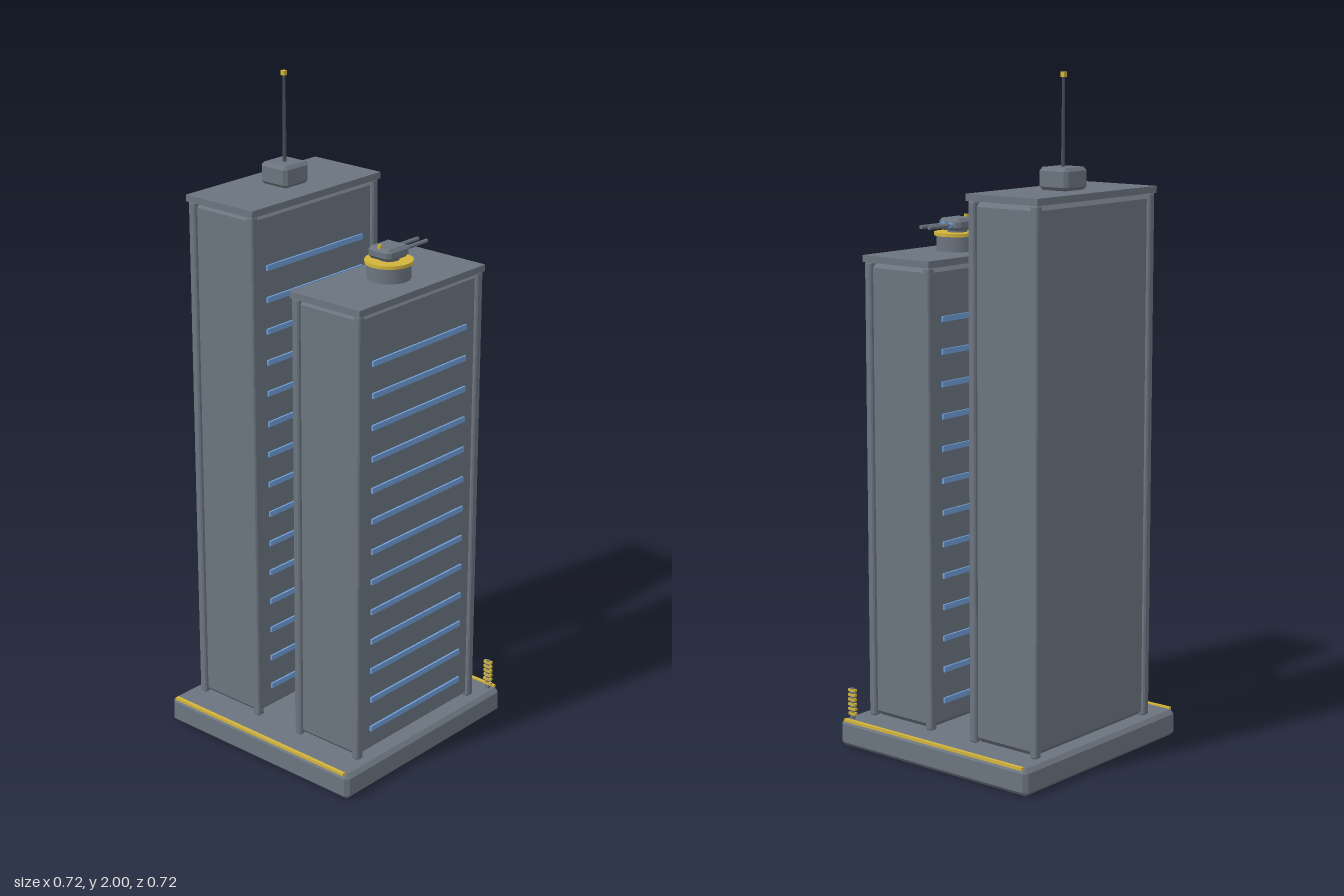
import * as THREE from 'three';
import { ConvexGeometry } from 'three/addons/geometries/ConvexGeometry.js';

const material = (name, color) => {
  const m = new THREE.MeshStandardMaterial({ color });
  m.name = name;
  return m;
};

// Box with flat chamfers on every edge, centred on the origin
function chamferBox(w, h, d, c) {
  const points = [];
  for (const sx of [-1, 1]) for (const sy of [-1, 1]) for (const sz of [-1, 1]) {
    const x = w / 2, y = h / 2, z = d / 2;
    points.push(new THREE.Vector3(sx * x, sy * (y - c), sz * (z - c)));
    points.push(new THREE.Vector3(sx * (x - c), sy * y, sz * (z - c)));
    points.push(new THREE.Vector3(sx * (x - c), sy * (y - c), sz * z));
  }
  return new ConvexGeometry(points);
}

export function createModel() {
  const model = new THREE.Group();
  model.name = 'twinTowers';
  const grey = material('slateGrey', 0x6b747f);
  const dark = material('darkSteel', 0x454b55);
  const yellow = material('signalYellow', 0xd2b43c);
  const blue = material('windowBlue', 0x6f9fd8);

  const add = (parent, name, geometry, mat, x, y, z) => {
    const mesh = new THREE.Mesh(geometry, mat);
    mesh.name = name;
    mesh.position.set(x, y, z);
    parent.add(mesh);
    return mesh;
  };
  const box = (w, h, d) => new THREE.BoxGeometry(w, h, d);

  // Base slab with yellow edge strips at front and back
  add(model, 'base', chamferBox(0.72, 0.08, 0.72, 0.012), grey, 0, 0.04, 0);
  for (const s of [-1, 1])
    add(model, 'edgeStrip', box(0.685, 0.009, 0.011), yellow, 0, 0.08, s * 0.353);

  // Tower: core, corner columns, roof slab and window bands
  function tower(name, x, top, bands, sides) {
    const g = new THREE.Group();
    g.name = name;
    g.position.x = x;
    model.add(g);
    const h = top - 0.1, mid = 0.08 + h / 2;
    add(g, 'core', chamferBox(0.23, h, 0.52, 0.016), grey, 0, mid, 0);
    for (const sx of [-1, 1]) for (const sz of [-1, 1])
      add(g, 'cornerColumn', chamferBox(0.025, h, 0.025, 0.004), grey, sx * 0.1125, mid, sz * 0.2575);
    add(g, 'roofSlab', box(0.257, 0.02, 0.547), grey, 0, top - 0.01, 0);
    for (const s of sides) for (let i = 0; i < bands; i++)
      add(g, 'windowBand', box(0.008, 0.016, 0.41), blue, s * 0.117, 0.157 + i * 0.095, 0);
    return g;
  }
  const tall = tower('tallTower', -0.199, 1.67, 15, [1]);
  const short = tower('shortTower', 0.197, 1.47, 13, [-1, 1]);

  // Bridges between the towers
  add(model, 'upperBridge', chamferBox(0.18, 0.053, 0.074, 0.005), grey, 0, 1.275, 0);
  add(model, 'lowerBridge', chamferBox(0.18, 0.053, 0.074, 0.005), grey, 0, 0.728, -0.02);

  // Mast on the tall tower
  add(tall, 'mastHousing', chamferBox(0.103, 0.065, 0.103, 0.01), grey, 0, 1.7025, 0);
  add(tall, 'mast', new THREE.CylinderGeometry(0.004, 0.006, 0.26, 8), dark, 0, 1.86, 0);
  add(tall, 'mastLight', box(0.013, 0.014, 0.013), yellow, 0, 1.993, 0);

  // Twin-barrel turret on the short tower, pointing back
  add(short, 'turretDrum', new THREE.CylinderGeometry(0.063, 0.063, 0.045, 20).toNonIndexed(), grey, 0, 1.4925, 0);
  add(short, 'turretRing', new THREE.CylinderGeometry(0.07, 0.07, 0.01, 20), yellow, 0, 1.52, 0);
  add(short, 'turretNeck', new THREE.CylinderGeometry(0.03, 0.03, 0.012, 12), grey, 0, 1.528, 0);
  add(short, 'turretHead', chamferBox(0.084, 0.036, 0.092, 0.01), grey, 0, 1.549, 0.003);
  add(short, 'turretLight', box(0.01, 0.01, 0.01), yellow, 0, 1.57, 0.04);
  for (const s of [-1, 1]) {
    const barrel = add(short, 'barrel', new THREE.CylinderGeometry(0.006, 0.006, 0.11, 8), grey, s * 0.016, 1.548, -0.09);
    const sleeve = add(short, 'barrelSleeve', new THREE.CylinderGeometry(0.0085, 0.0085, 0.02, 8), blue, s * 0.016, 1.548, -0.047);
    barrel.rotation.x = sleeve.rotation.x = Math.PI / 2;
  }

  // Small marker post with yellow rungs on the back corner
  const post = new THREE.Group();
  post.name = 'markerPost';
  post.position.set(0.331, 0, -0.333);
  model.add(post);
  add(post, 'post', box(0.012, 0.098, 0.009), grey, 0, 0.127, 0);
  for (let i = 0; i < 6; i++)
    add(post, 'rung', box(0.027, 0.008, 0.011), yellow, 0, 0.097 + i * 0.0145, 0);

  return model;
}
